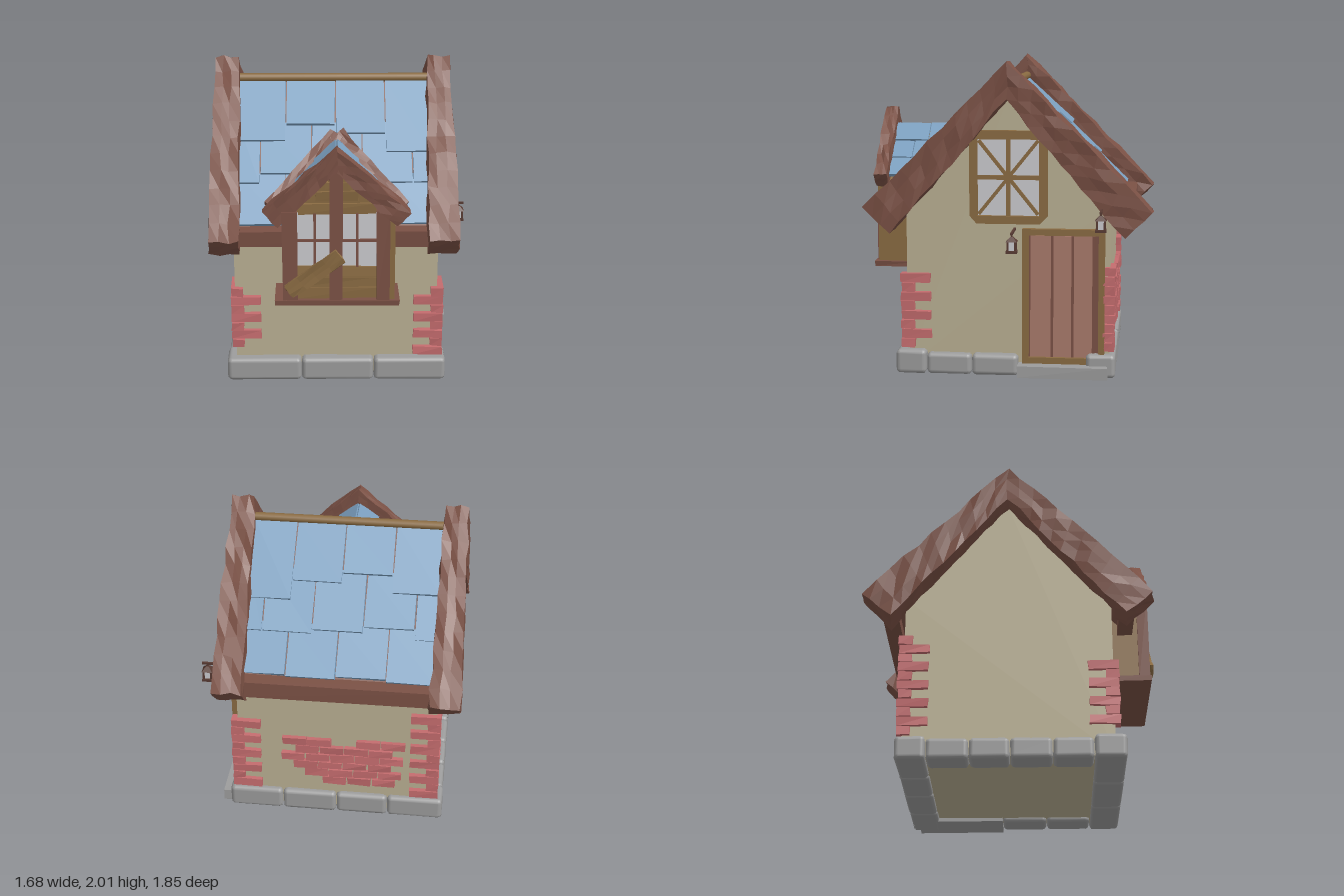
import * as THREE from 'three';
import { RoundedBoxGeometry } from 'three/addons/geometries/RoundedBoxGeometry.js';

const mat = (name, color) => Object.assign(new THREE.MeshStandardMaterial({ color }), { name });
const V = (x, y, z) => new THREE.Vector3(x, y, z);

export function createModel() {
  const M = {
    plaster: mat('plaster', 0xbab093), timber: mat('dark timber', 0x7b5145),
    oak: mat('pale oak', 0x8a6b42), slate: mat('blue slate', 0x7b9fbf),
    brick: mat('brick', 0xc46c6e), stone: mat('stone', 0x9c9c9c),
    glass: mat('glass', 0xcbcbcf), door: mat('door red', 0xa97a6b), iron: mat('iron brown', 0x583b33),
  };
  const model = new THREE.Group();
  model.name = 'cottage';
  const add = (name, geo, m, parent = model) => {
    const mesh = new THREE.Mesh(geo, m);
    mesh.name = name;
    parent.add(mesh);
    return mesh;
  };

  // Small offset that depends only on position, so shared corners move together
  const hash = (x, y, z, k) => {
    const s = Math.sin(Math.round(x * 500) * 12.9898 + Math.round(y * 500) * 78.233
      + Math.round(z * 500) * 37.719 + k * 4.17) * 43758.5453;
    return s - Math.floor(s) - 0.5;
  };
  const roughen = (geo, amp) => {
    const p = geo.attributes.position;
    for (let i = 0; i < p.count; i++) {
      const [x, y, z] = [p.getX(i), p.getY(i), p.getZ(i)];
      p.setXYZ(i, x + amp * hash(x, y, z, 1), y + amp * hash(x, y, z, 2), z + amp * hash(x, y, z, 3));
    }
    return geo;
  };
  const flat = (geo) => {
    const g = geo.index ? geo.toNonIndexed() : geo;
    g.computeVertexNormals();
    return g;
  };

  // Axis-aligned box given by its limits
  const box = (name, m, x0, x1, y0, y1, z0, z1, { amp = 0, parent = model } = {}) => {
    const g = new THREE.BoxGeometry(x1 - x0, y1 - y0, z1 - z0)
      .translate((x0 + x1) / 2, (y0 + y1) / 2, (z0 + z1) / 2);
    return add(name, flat(roughen(g, amp)), m, parent);
  };

  // Beam from a to b: thickness t and width w may flare; miter is the slope of the cut at a
  const beam = (name, m, a, b, t, w, { t1 = t, w1 = w, up = V(0, 1, 0), miter = 0, amp = 0, seg = 1 } = {}) => {
    const n = seg > 1 ? 3 : 1;
    const g = new THREE.BoxGeometry(1, 1, 1, seg, n, n);
    const X = b.clone().sub(a), len = X.length();
    X.normalize();
    const Z = X.clone().cross(up).normalize(), Y = Z.clone().cross(X);
    const p = g.attributes.position;
    for (let i = 0; i < p.count; i++) {
      const u = p.getX(i) + 0.5;
      const y = p.getY(i) * (t + (t1 - t) * u);
      p.setXYZ(i, u * len - y * miter * (1 - u), y, p.getZ(i) * (w + (w1 - w) * u));
    }
    g.applyMatrix4(new THREE.Matrix4().makeBasis(X, Y, Z).setPosition(a));
    return add(name, flat(roughen(g, amp)), m);
  };

  const polygon = (pts) => new THREE.Shape(pts.map(([x, y]) => new THREE.Vector2(x, y)));
  const extrude = (shape, depth) => new THREE.ExtrudeGeometry(shape, { depth, bevelEnabled: false });

  // Plastered body with gables
  add('walls', extrude(polygon([[-0.65, 0.03], [0.65, 0.03], [0.65, 1.1], [0, 1.77], [-0.65, 1.1]]), 1.3)
    .rotateY(Math.PI / 2).translate(-0.69, 0, 0), M.plaster);

  // Foundation stones
  const stone = (x0, x1, z0, z1, h) => {
    const g = new RoundedBoxGeometry(x1 - x0 - 0.005, h, z1 - z0 - 0.005, 3, 0.028);
    add('foundationStone', roughen(g, 0.006).translate((x0 + x1) / 2, h / 2, (z0 + z1) / 2), M.stone);
  };
  const frontCuts = [-0.75, -0.265, 0.205, 0.675], backCuts = [-0.75, -0.38, -0.04, 0.32, 0.675];
  for (let i = 0; i < 3; i++) stone(frontCuts[i], frontCuts[i + 1], 0.52, 0.72, 0.155);
  for (let i = 0; i < 4; i++) stone(backCuts[i], backCuts[i + 1], -0.69, -0.5, 0.15);
  const sideCuts = [-0.5, -0.24, 0.01, 0.27, 0.52];
  for (let i = 0; i < 4; i++) stone(-0.745, -0.55, sideCuts[i], sideCuts[i + 1], 0.135);
  stone(0.48, 0.67, 0.23, 0.52, 0.135);
  stone(0.48, 0.67, -0.07, 0.23, 0.135);
  box('doorStep', M.stone, 0.48, 0.73, 0.005, 0.08, -0.64, -0.07, { amp: 0.004 });

  // Corner bricks, alternating direction on each course
  const pitch = 0.0605;
  const quoins = (sx, sz, first, last, shortZ = 0.085, longZ = 0.19) => {
    for (let i = first; i <= last; i++) {
      const y = 0.17 + i * pitch, longX = i % 2 === 0;
      const X = sx > 0 ? 0.65 : -0.715, Z = sz * (0.683 + 0.008 * hash(i, sx, sz, 1));
      const x2 = X - sx * (longX ? 0.19 : 0.08), z2 = Z - sz * (longX ? shortZ : longZ);
      box('cornerBrick', M.brick, Math.min(X, x2), Math.max(X, x2), y, y + 0.055,
        Math.min(Z, z2), Math.max(Z, z2), { amp: 0.008 });
    }
  };
  quoins(1, 1, 0, 7);
  quoins(-1, 1, 1, 7);
  quoins(-1, -1, 0, 10);
  quoins(1, -1, 0, 8, 0.065, 0.07);

  // Exposed brick patch on the back wall: start x and number of bricks per course
  [[-0.43, 3], [-0.47, 4], [-0.4, 4], [-0.48, 5], [-0.41, 4], [-0.49, 5]].forEach(([x, n], r) => {
    for (let i = 0; i < n; i++) {
      if (r === 5 && i === 2) continue;
      const x0 = x + i * 0.162, y = 0.235 + r * pitch;
      box('patchBrick', M.brick, x0, x0 + 0.154, y, y + 0.053, -0.68, -0.63, { amp: 0.01 });
    }
  });

  // Main roof: boarding, eaves and overlapping slates on both slopes
  const roofY = (z) => 1.83 - 1.03 * z;
  const rows = [
    { top: 0.47, lift: 0.02, cuts: [-0.67, -0.36, -0.04, 0.28, 0.57], ends: [0.72, 0.71, 0.72, 0.715] },
    { top: 0.22, lift: 0.035, cuts: [-0.67, -0.52, -0.195, 0.13, 0.45, 0.57], ends: [0.535, 0.49, 0.515, 0.53, 0.53] },
    { top: 0.0, lift: 0.045, cuts: [-0.67, -0.36, -0.04, 0.28, 0.57], ends: [0.335, 0.255, 0.3, 0.39] },
  ];
  for (const s of [1, -1]) {
    beam('roofBoards', M.timber, V(-0.05, 1.805, 0), V(-0.05, 1.805 - 1.03 * 0.74, s * 0.74), 0.025, 1.26, { miter: 1.03 });
    box('eaveBeam', M.timber, -0.68, 0.58, 0.99, 1.095, s > 0 ? 0.7 : -0.8, s > 0 ? 0.8 : -0.7, { amp: 0.01 });
    for (const { top, lift, cuts, ends } of rows) {
      ends.forEach((end, i) => {
        const x = (cuts[i] + cuts[i + 1]) / 2;
        beam('roofSlate', M.slate, V(x, roofY(top) + 0.005, s * top), V(x, roofY(end) + lift, s * end),
          0.026, cuts[i + 1] - cuts[i] - 0.008, { amp: 0.005 });
      });
    }
    // Heavy gable timbers
    for (const x of [-0.738, 0.628]) {
      beam('gableBeam', M.timber, V(x, 1.88, 0), V(x, 0.995, s * 0.825), 0.16, 0.15,
        { t1: 0.24, w1: 0.195, miter: 1.07, amp: 0.02, seg: 11 });
    }
  }
  add('ridgePole', new THREE.CylinderGeometry(0.028, 0.028, 1.24, 10).rotateZ(Math.PI / 2)
    .translate(-0.05, 1.852, 0), M.oak);

  // Dormer body, sill and posts
  const cx = -0.035;
  add('dormerBody', extrude(polygon([[-0.36, 0.66], [0.32, 0.66], [0.32, 1.2], [cx, 1.5], [-0.36, 1.2]]), 0.32)
    .translate(0, 0, 0.54), M.oak);
  box('dormerSill', M.timber, -0.425, 0.355, 0.638, 0.672, 0.63, 0.91, { amp: 0.006 });
  for (const x of [-0.35, 0.285]) box('dormerCornerBoard', M.oak, x, x + 0.04, 0.67, 1.2, 0.64, 0.89);
  box('dormerPost', M.timber, -0.372, -0.28, 0.67, 1.27, 0.83, 0.9, { amp: 0.008 });
  box('dormerPost', M.timber, 0.21, 0.29, 0.67, 1.27, 0.83, 0.9, { amp: 0.008 });
  box('dormerPost', M.timber, -0.08, 0, 0.67, 1.55, 0.83, 0.9, { amp: 0.008 });
  for (const [y0, y1, h] of [[0.675, 0.745, 0.25], [0.755, 0.815, 0.25], [0.825, 0.895, 0.25],
    [1.245, 1.315, 0.24], [1.33, 1.39, 0.13], [1.4, 1.45, 0.07]]) {
    box('dormerPlank', M.oak, cx - h, cx + h, y0, y1, 0.85, 0.875, { amp: 0.01 });
  }

  // Dormer window
  box('dormerGlass', M.glass, -0.29, 0.22, 0.89, 1.25, 0.858, 0.866);
  for (const x of [-0.172, 0.09]) box('dormerGlazingBar', M.timber, x - 0.008, x + 0.008, 0.89, 1.25, 0.86, 0.878);
  box('dormerGlazingBar', M.timber, -0.29, 0.22, 1.06, 1.076, 0.86, 0.878);
  beam('nailedPlank', M.oak, V(-0.336, 0.735, 0.91), V(-0.013, 0.98, 0.91), 0.1, 0.025, { amp: 0.01, seg: 4 });

  // Dormer roof: slates, front gable timbers and valley timbers on the main roof
  for (const s of [1, -1]) {
    for (let r = 0; r < 3; r++) {
      const d0 = r * 0.12, d1 = d0 + 0.135;
      const cuts = r % 2 ? [0.28, 0.48, 0.68, 0.84] : [0.28, 0.4, 0.59, 0.84];
      for (let i = 0; i < 3; i++) {
        const z = (cuts[i] + cuts[i + 1]) / 2;
        beam('dormerSlate', M.slate, V(cx + s * d0, 1.555 - 0.86 * d0 - 0.006, z),
          V(cx + s * d1, 1.555 - 0.86 * d1 + 0.01, z), 0.022, cuts[i + 1] - cuts[i] - 0.006, { amp: 0.004 });
      }
    }
    beam('dormerGableBeam', M.timber, V(cx, 1.595, 0.857), V(cx + s * 0.41, 1.215, 0.857), 0.1, 0.085,
      { t1: 0.13, miter: 0.93, amp: 0.016, seg: 7 });
    beam('dormerValleyBeam', M.timber, V(cx, 1.56, 0.32), V(cx + s * 0.4, 1.195, 0.675), 0.08, 0.1,
      { w1: 0.12, up: V(0, 0.7, 0.714), amp: 0.014, seg: 7 });
  }

  // Right side panel: local x runs towards the back, local z points out of the wall
  const side = new THREE.Group();
  side.name = 'rightSideFittings';
  side.position.x = 0.61;
  side.rotation.y = Math.PI / 2;
  model.add(side);
  const on = { parent: side };

  // Gable window with radiating bars
  const frame = polygon([[-0.195, 0.98], [0.205, 0.98], [0.255, 1.03], [0.255, 1.55], [0.235, 1.57],
    [-0.225, 1.57], [-0.24, 1.55], [-0.24, 1.03]]);
  frame.holes.push(polygon([[-0.19, 1.03], [-0.19, 1.515], [0.2, 1.515], [0.2, 1.03]]));
  add('gableWindowFrame', extrude(frame, 0.04), M.oak, side);
  box('gableWindowGlass', M.glass, -0.195, 0.205, 1.025, 1.52, 0, 0.008, on);
  for (const [w, h, a] of [[0.39, 0.028, 0], [0.028, 0.485, 0], [0.6, 0.022, 0.893], [0.6, 0.022, -0.893]]) {
    const bar = add('gableWindowBar', new THREE.BoxGeometry(w, h, 0.022), M.oak, side);
    bar.position.set(0.005, 1.273, 0.014);
    bar.rotation.z = a;
  }

  // Door
  for (const x of [0.095, 0.578]) box('doorFrame', M.oak, x, x + 0.04, 0.08, 0.95, 0, 0.04, on);
  box('doorFrame', M.oak, 0.095, 0.618, 0.91, 0.95, 0, 0.042, on);
  box('doorFrame', M.oak, 0.095, 0.618, 0.08, 0.12, 0, 0.035, on);
  box('doorBacking', M.timber, 0.13, 0.58, 0.1, 0.92, 0, 0.01, on);
  for (const [x0, x1] of [[0.145, 0.275], [0.292, 0.405], [0.422, 0.538]]) {
    box('doorPlank', M.door, x0, x1, 0.122, 0.905, 0, 0.018, on);
  }
  for (const x of [0.276, 0.406, 0.54]) box('doorBatten', M.timber, x, x + 0.015, 0.122, 0.905, 0, 0.022, on);

  // Hanging lanterns
  for (const [z, y] of [[-0.045, 0.945], [-0.597, 1.085]]) {
    const l = new THREE.Group();
    l.name = 'lantern';
    l.position.set(0.8, y, z);
    model.add(l);
    const inL = { parent: l };
    box('lanternArm', M.iron, -0.2, 0.035, -0.007, 0.007, -0.007, 0.007, inL);
    box('lanternHook', M.iron, -0.005, 0.005, -0.03, 0, -0.005, 0.005, inL);
    add('lanternCap', flat(new THREE.CylinderGeometry(0.012, 0.05, 0.03, 4).rotateY(Math.PI / 4)
      .translate(0, -0.035, 0)), M.iron, l);
    box('lanternGlass', M.glass, -0.021, 0.021, -0.105, -0.05, -0.021, 0.021, inL);
    box('lanternBase', M.iron, -0.034, 0.034, -0.122, -0.105, -0.034, 0.034, inL);
    for (const px of [-0.024, 0.024]) for (const pz of [-0.024, 0.024]) {
      box('lanternPost', M.iron, px - 0.006, px + 0.006, -0.11, -0.048, pz - 0.006, pz + 0.006, inL);
    }
  }
  return model;
}
